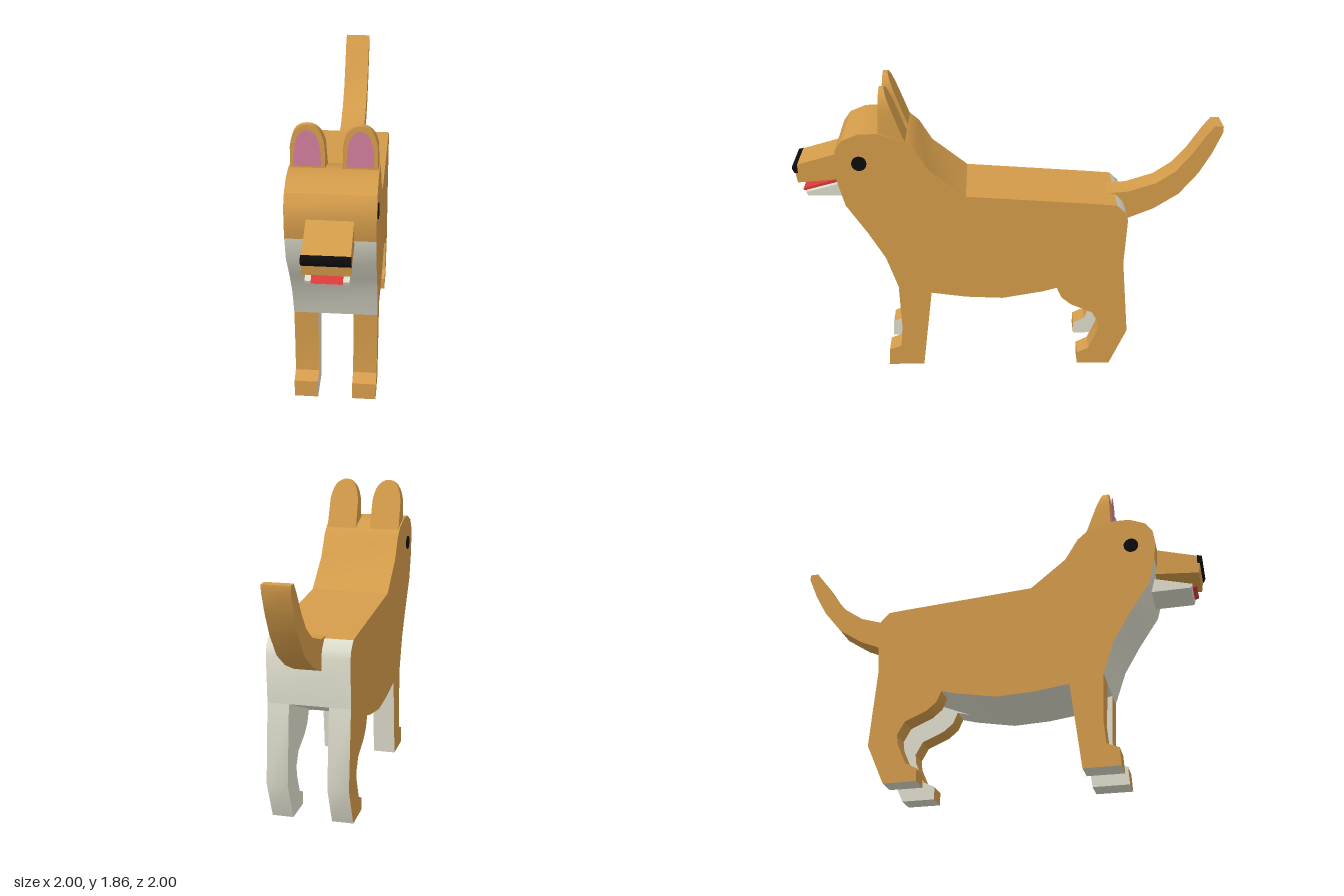
import * as THREE from 'three';
import { toCreasedNormals } from 'three/addons/utils/BufferGeometryUtils.js';

const mat = (name, color, side = THREE.FrontSide) => {
  const m = new THREE.MeshStandardMaterial({ color, side });
  m.name = name;
  return m;
};

export function createModel() {
  const tan = mat('tan fur', 0xd39b4a);
  const cream = mat('cream fur', 0xdedccb);
  const black = mat('black', 0x0c0c0c);
  const pink = mat('inner ear pink', 0xd07e9c);
  const red = mat('tongue red', 0xd83a3a);

  // The dog is built facing +x, then turned to stand diagonally.
  const dog = new THREE.Group();
  dog.name = 'dog';

  const add = (name, geo, material) => {
    const mesh = new THREE.Mesh(geo, material);
    mesh.name = name;
    dog.add(mesh);
    return mesh;
  };

  // Side profile (x, y) extruded across the body from z0 to z1.
  const slab = (points, z0, z1, crease = 0.55) => {
    const shape = new THREE.Shape(points.map(([x, y]) => new THREE.Vector2(x, y)));
    const geo = new THREE.ExtrudeGeometry(shape, { depth: z1 - z0, bevelEnabled: false });
    geo.translate(0, 0, z0);
    return toCreasedNormals(geo, crease);
  };

  // Sort triangles into tan (group 0) and cream (group 1) by a rule.
  const paint = (geo, isCream) => {
    const pos = geo.attributes.position;
    const tri = new THREE.Triangle();
    const n = new THREE.Vector3(), c = new THREE.Vector3();
    const lists = [[], []];
    for (let i = 0; i < pos.count; i += 3) {
      tri.setFromAttributeAndIndices(pos, i, i + 1, i + 2);
      tri.getNormal(n);
      tri.getMidpoint(c);
      lists[isCream(n, c) ? 1 : 0].push(i, i + 1, i + 2);
    }
    geo.setIndex([...lists[0], ...lists[1]]);
    geo.clearGroups();
    geo.addGroup(0, lists[0].length, 0);
    geo.addGroup(lists[0].length, lists[1].length, 1);
    return geo;
  };

  // Torso, neck and head in one profile; cream chest, belly and rump
  const torso = [
    [0.66, 0.575], [0.73, 0.78], [0.83, 0.95], [0.957, 1.14], [1.0, 1.3], [1.01, 1.41],
    [1.0, 1.5], [0.957, 1.56], [0.86, 1.6], [0.75, 1.603], [0.6, 1.56], [0.53, 1.5],
    [0.45, 1.37], [0.23, 1.195], [-0.567, 1.14], [-0.688, 1.13], [-0.74, 1.08],
    [-0.757, 1.03], [-0.742, 0.735], [-0.242, 0.535], [0.008, 0.49], [0.236, 0.5], [0.455, 0.53],
  ];
  add('body', paint(slab(torso, -0.25, 0.25),
    (n, c) => Math.abs(n.z) < 0.5 && c.y < 1.3 && n.y < 0.75), [tan, cream]);

  // Legs: tan outside and in front, cream inside, behind and below
  const foreLeg = [
    [0.66, 0.575], [0.455, 0.53], [0.517, 0], [0.742, 0], [0.735, 0.11], [0.66, 0.14], [0.648, 0.28],
  ];
  const hindLeg = [
    [-0.242, 0.535], [-0.742, 0.735], [-0.786, 0.245], [-0.68, 0], [-0.474, 0], [-0.474, 0.08],
    [-0.544, 0.115], [-0.597, 0.24], [-0.604, 0.3], [-0.559, 0.38], [-0.423, 0.44],
    [-0.363, 0.49], [-0.332, 0.56],
  ];
  for (const side of [-1, 1]) {
    const label = side < 0 ? 'left' : 'right';
    for (const [part, profile, width] of [['ForeLeg', foreLeg, 0.145], ['HindLeg', hindLeg, 0.13]]) {
      const inner = side * (0.25 - width), outer = side * 0.25;
      const geo = slab(profile, Math.min(inner, outer), Math.max(inner, outer));
      add(label + part, paint(geo, (n) =>
        n.z * side < -0.5 || (Math.abs(n.z) < 0.5 && (n.x < -0.01 || n.y < -0.99))), [tan, cream]);
    }
  }

  // Upswept tail
  add('tail', slab([
    [-0.6, 1.13], [-0.77, 1.145], [-0.94, 1.2], [-1.056, 1.28], [-1.14, 1.38], [-1.225, 1.51],
    [-1.275, 1.575], [-1.327, 1.573], [-1.327, 1.535], [-1.27, 1.4], [-1.198, 1.27],
    [-1.085, 1.13], [-0.934, 1.03], [-0.76, 0.957], [-0.7, 0.95],
  ], -0.08, 0.08), tan);

  // Muzzle with a nose band across its tip
  add('muzzle', slab([
    [0.95, 1.445], [0.95, 1.265], [1.255, 1.24], [1.272, 1.352],
  ], -0.13, 0.13, 0.3), tan);
  add('nose', slab([
    [1.252, 1.36], [1.25, 1.305], [1.27, 1.305], [1.282, 1.33], [1.28, 1.352],
  ], -0.134, 0.134, 0.3), black);

  // Lower jaw and tongue
  add('jaw', slab([
    [0.92, 1.145], [1.2, 1.147], [1.21, 1.172], [0.92, 1.25],
  ], -0.12, 0.12, 0.3), cream);
  add('tongue', slab([
    [0.95, 1.238], [1.08, 1.195], [1.21, 1.165], [1.235, 1.172], [1.215, 1.187],
    [1.09, 1.222], [0.95, 1.265],
  ], -0.085, 0.085), red);

  // Arched outline of an ear, from base to tip
  const arch = (half, base, top) => {
    const s = new THREE.Shape();
    s.moveTo(-half, base);
    s.lineTo(half, base);
    s.lineTo(half * 0.95, top - 0.13);
    s.bezierCurveTo(half * 0.85, top - 0.04, half * 0.5, top, 0, top);
    s.bezierCurveTo(-half * 0.5, top, -half * 0.85, top - 0.04, -half * 0.95, top - 0.13);
    return s;
  };
  for (const side of [-1, 1]) {
    const label = side < 0 ? 'left' : 'right';
    // Ear: upright front, back sloping down to the neck
    let ear = new THREE.ExtrudeGeometry(arch(0.1, 1.45, 1.857), { depth: 1, bevelEnabled: false, curveSegments: 6 });
    const p = ear.attributes.position;
    for (let i = 0; i < p.count; i++) {
      const x = p.getX(i), y = p.getY(i);
      const front = 0.745 - 0.05 * Math.max(0, y - 1.6);
      p.setXYZ(i, p.getZ(i) > 0.5 ? front : 0.59 + (y - 1.56) * 0.38, y, -x);
    }
    ear = toCreasedNormals(ear, 0.6);
    add(label + 'Ear', ear, tan).position.z = side * 0.145;

    const inside = new THREE.ShapeGeometry(arch(0.076, 1.615, 1.832), 6);
    inside.rotateY(Math.PI / 2);
    add(label + 'InnerEar', inside, pink).position.set(0.75, 0, side * 0.145);

    // Round eye on the side of the head
    const eye = new THREE.CylinderGeometry(0.045, 0.045, 0.009, 20);
    eye.rotateX(Math.PI / 2);
    add(label + 'Eye', eye, black).position.set(0.862, 1.415, side * 0.252);
  }

  dog.rotation.y = -Math.PI * 0.75;
  const model = new THREE.Group();
  model.name = 'dogModel';
  model.add(dog);
  return model;
}
